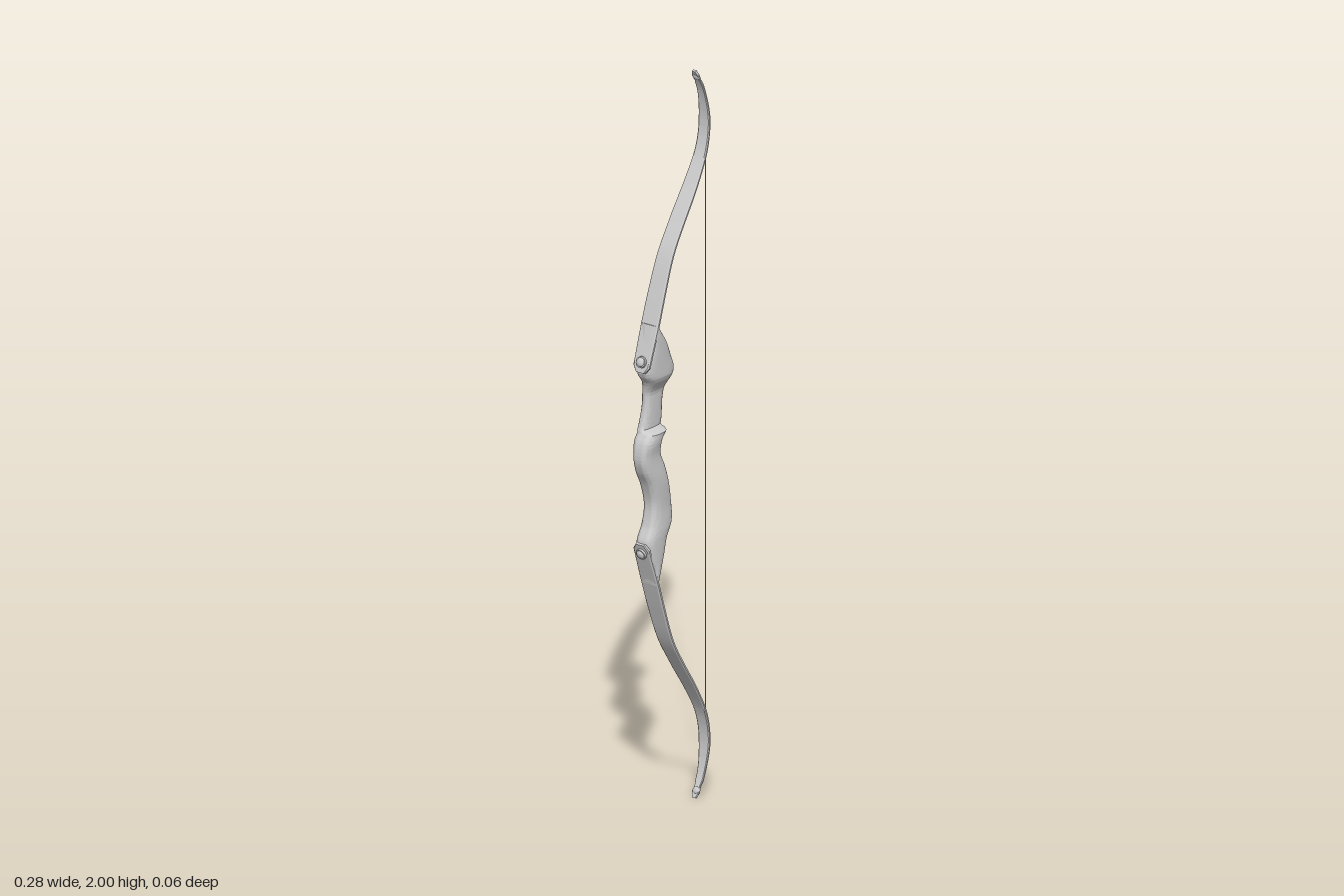
import * as THREE from 'three';
import { toCreasedNormals } from 'three/addons/utils/BufferGeometryUtils.js';

const material = new THREE.MeshStandardMaterial({ color: 0xcccccc, side: THREE.DoubleSide });

function addMesh(parent, name, geometry) {
  const mesh = new THREE.Mesh(geometry, material);
  mesh.name = name;
  parent.add(mesh);
  return mesh;
}

// Smoothed lookup in a table of [position, value] rows
function lookup(table, p) {
  if (p <= table[0][0]) return table[0][1];
  for (let i = 1; i < table.length; i++) {
    const [p0, v0] = table[i - 1], [p1, v1] = table[i];
    if (p <= p1) return v0 + (v1 - v0) * THREE.MathUtils.smoothstep(p, p0, p1);
  }
  return table[table.length - 1][1];
}

// Skin over closed rings of points, with both ends capped
function loft(rings, crease) {
  const n = rings[0].length, positions = [], index = [];
  rings.forEach(r => r.forEach(p => positions.push(p.x, p.y, p.z)));
  for (let i = 0; i < rings.length - 1; i++) {
    for (let j = 0; j < n; j++) {
      const a = i * n + j, b = i * n + (j + 1) % n;
      index.push(a, a + n, b, b, a + n, b + n);
    }
  }
  const last = (rings.length - 1) * n;
  for (let j = 1; j < n - 1; j++) {
    index.push(0, j, j + 1, last, last + j + 1, last + j);
  }
  const geometry = new THREE.BufferGeometry();
  geometry.setAttribute('position', new THREE.Float32BufferAttribute(positions, 3));
  geometry.setIndex(index);
  return toCreasedNormals(geometry, crease);
}

// Riser: sculpted grip with the sight window cut into its left side
function riserGeometry() {
  // front edge x, height, back edge x
  const profile = new THREE.CatmullRomCurve3([
    [-0.096, 0.645, -0.087], [-0.106, 0.685, -0.068], [-0.122, 0.725, -0.052],
    [-0.128, 0.765, -0.04], [-0.108, 0.81, -0.018], [-0.1, 0.865, -0.022],
    [-0.113, 0.92, -0.034], [-0.135, 0.965, -0.048], [-0.143, 1.0, -0.063],
    [-0.136, 1.04, -0.062], [-0.116, 1.073, -0.037], [-0.1, 1.14, -0.031],
    [-0.105, 1.195, -0.015], [-0.127, 1.227, -0.008], [-0.125, 1.26, -0.022],
    [-0.113, 1.3, -0.041], [-0.096, 1.357, -0.086],
  ].map(p => new THREE.Vector3(...p)));
  const rightSide = [[0.65, 0.027], [0.78, 0.028], [0.85, 0.025], [0.93, 0.028],
    [1.0, 0.025], [1.05, 0.03], [1.15, 0.027], [1.36, 0.027]];
  const leftSide = [[0.65, 0.027], [0.78, 0.028], [0.85, 0.025], [0.93, 0.028],
    [1.0, 0.025], [1.045, 0.03], [1.062, 0.03], [1.07, 0.001], [1.16, 0.001],
    [1.215, 0.026], [1.36, 0.027]];
  const rings = [], rows = 180, sides = 32;
  for (let i = 0; i <= rows; i++) {
    const p = profile.getPoint(i / rows);
    const left = lookup(leftSide, p.y), right = -lookup(rightSide, p.y);
    const cx = (p.x + p.z) / 2, rx = (p.z - p.x) / 2;
    const cz = (left + right) / 2, rz = (left - right) / 2;
    const ring = [];
    for (let j = 0; j < sides; j++) {
      const a = j / sides * Math.PI * 2, c = Math.cos(a), s = Math.sin(a);
      // rounded-rectangle section
      ring.push(new THREE.Vector3(
        cx + rx * Math.sign(c) * Math.abs(c) ** 0.7, p.y,
        cz + rz * Math.sign(s) * Math.abs(s) ** 0.7));
    }
    rings.push(ring);
  }
  return loft(rings, 0.7);
}

// Recurved limb: flat strip swept from the riser pocket to the tip
const limbPath = new THREE.CatmullRomCurve3([
  [-0.129, 1.235], [-0.121, 1.26], [-0.094, 1.34], [-0.062, 1.435], [-0.025, 1.53],
  [0.025, 1.612], [0.08, 1.695], [0.122, 1.775], [0.135, 1.85], [0.122, 1.935], [0.092, 1.998],
].map(([x, y]) => new THREE.Vector3(x, y, 0)));

function limbGeometry() {
  const halfWidth = [[0, 0.014], [0.02, 0.026], [0.15, 0.028], [0.5, 0.024],
    [0.8, 0.018], [0.94, 0.012], [0.965, 0.009], [0.98, 0.012], [1, 0.006]];
  const rings = [], rows = 100;
  for (let i = 0; i <= rows; i++) {
    const t = i / rows, p = limbPath.getPointAt(t), d = limbPath.getTangentAt(t);
    const w = lookup(halfWidth, t), h = 0.0055 - 0.002 * t;
    rings.push([[h, -0.85], [h, 0.85], [h * 0.5, 1], [-h * 0.5, 1],
      [-h, 0.85], [-h, -0.85], [-h * 0.5, -1], [h * 0.5, -1]].reverse().map(([u, v]) =>
      new THREE.Vector3(p.x + d.y * u, p.y - d.x * u, v * w)));
  }
  return loft(rings, 0.5);
}

function createHalf(name) {
  const half = new THREE.Group();
  half.name = name;
  addMesh(half, 'limb', limbGeometry());

  // Bolt with domed head holding the limb to the riser
  const bolt = new THREE.Group();
  bolt.name = 'limbBolt';
  const washer = addMesh(bolt, 'washer', new THREE.CylinderGeometry(0.015, 0.016, 0.008, 24));
  washer.position.y = 0.004;
  const dome = addMesh(bolt, 'boltHead',
    new THREE.SphereGeometry(0.012, 24, 8, 0, Math.PI * 2, 0, Math.PI / 2));
  dome.position.y = 0.008;
  dome.scale.y = 0.5;
  bolt.position.set(-0.123, 1.262, 0);
  bolt.rotation.z = 1.25;
  half.add(bolt);

  // Rounded nock at the limb tip
  const nock = addMesh(half, 'tipNock', new THREE.SphereGeometry(0.01, 20, 12));
  nock.scale.set(0.5, 1, 1.1);
  nock.position.set(0.1, 1.979, 0);
  nock.rotation.z = 0.42;
  return half;
}

export function createModel() {
  const bow = new THREE.Group();
  bow.name = 'recurveBow';
  addMesh(bow, 'riser', riserGeometry());

  bow.add(createHalf('upperLimbAssembly'));
  const lower = createHalf('lowerLimbAssembly');
  lower.rotation.x = Math.PI;
  lower.position.y = 2;
  bow.add(lower);

  // String: along the belly of both tips and straight between them
  const stringPath = new THREE.CurvePath();
  const points = [[0.106, 1.98], [0.127, 1.937], [0.138, 1.885], [0.1395, 1.84]];
  const full = [...points, ...points.map(([x, y]) => [x, 2 - y]).reverse()]
    .map(([x, y]) => new THREE.Vector3(x, y, 0));
  for (let i = 1; i < full.length; i++) {
    stringPath.add(new THREE.LineCurve3(full[i - 1], full[i]));
  }
  addMesh(bow, 'bowString', new THREE.TubeGeometry(stringPath, 160, 0.0013, 8));
  return bow;
}
